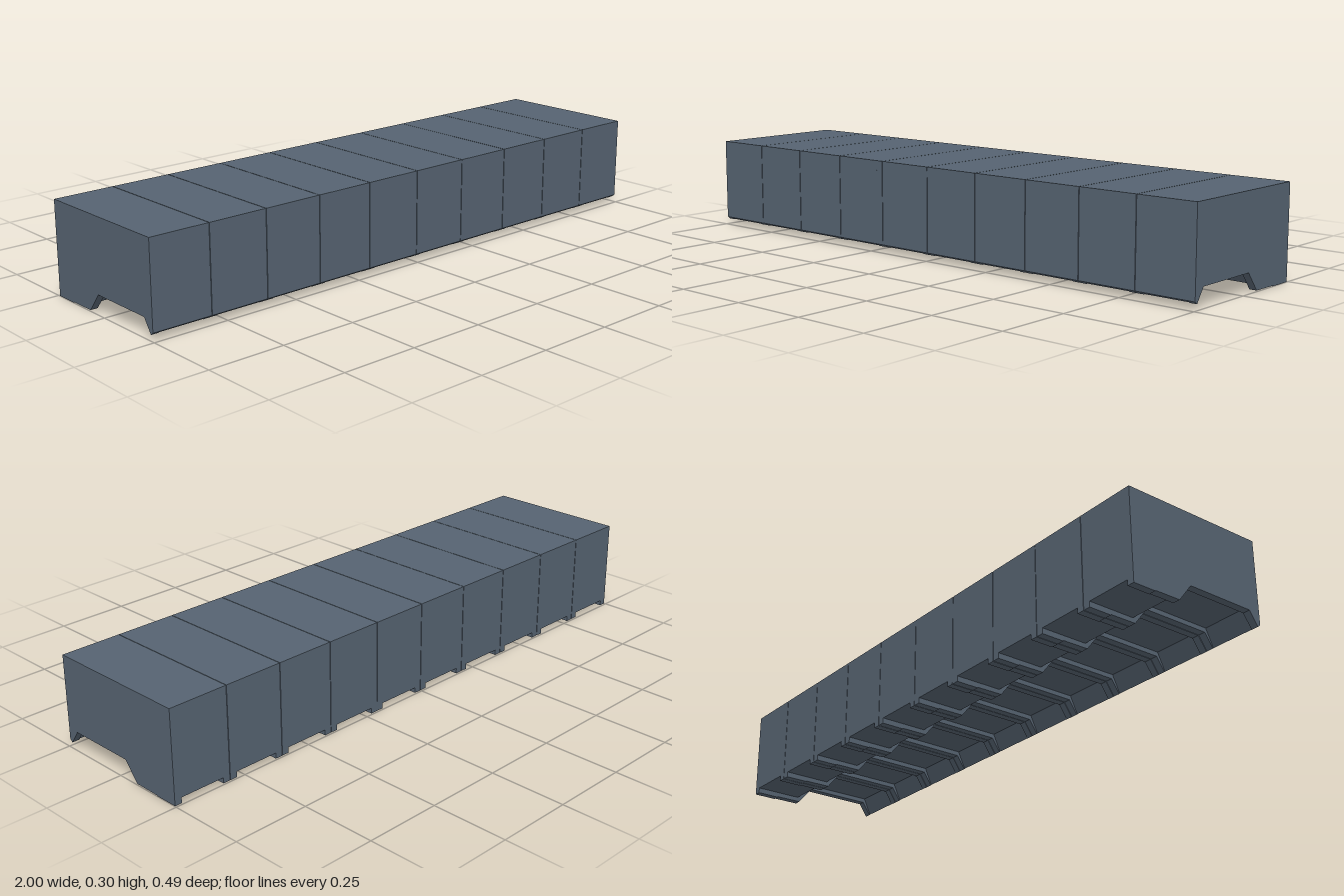
import * as THREE from 'three';

// Side profiles as [z, y] points
const ribProfile = [
  [-0.244, 0], [-0.166, 0], [-0.166, 0.002], [-0.075, 0.003], [-0.028, 0.062],
  [0.204, 0.062], [0.234, 0.018], [0.244, 0.026], [0.244, 0.3], [-0.244, 0.3],
];
const bodyProfile = [
  [-0.244, 0.018], [-0.083, 0.018], [-0.037, 0.077],
  [0.209, 0.077], [0.236, 0.02], [0.244, 0.026], [0.244, 0.3], [-0.244, 0.3],
];

// Extrude a side profile along x, centred on x = 0
function slab(profile, width) {
  const shape = new THREE.Shape(profile.map(([z, y]) => new THREE.Vector2(z, y)));
  const geometry = new THREE.ExtrudeGeometry(shape, { depth: width, bevelEnabled: false });
  geometry.translate(0, 0, -width / 2);
  geometry.rotateY(-Math.PI / 2);
  return geometry;
}

export function createModel() {
  const slate = new THREE.MeshStandardMaterial({ color: 0x566371 });
  slate.name = 'slate';

  const count = 10, pitch = 0.2, gap = 0.002, ribWidth = 0.024;
  const width = pitch - gap;
  const ribGeometry = slab(ribProfile, ribWidth);
  const bodyGeometry = slab(bodyProfile, width - 2 * ribWidth);

  const model = new THREE.Group();
  model.name = 'segmentedBlock';
  for (let i = 0; i < count; i++) {
    const segment = new THREE.Group();
    segment.name = `segment${i + 1}`;
    segment.position.x = (i - (count - 1) / 2) * pitch;

    // Raised middle of the segment
    const body = new THREE.Mesh(bodyGeometry, slate);
    body.name = 'body';
    segment.add(body);

    // Deeper rib at each end, reaching the ground
    for (const side of [-1, 1]) {
      const rib = new THREE.Mesh(ribGeometry, slate);
      rib.name = side > 0 ? 'leftRib' : 'rightRib';
      rib.position.x = side * (width - ribWidth) / 2;
      segment.add(rib);
    }
    model.add(segment);
  }
  return model;
}
